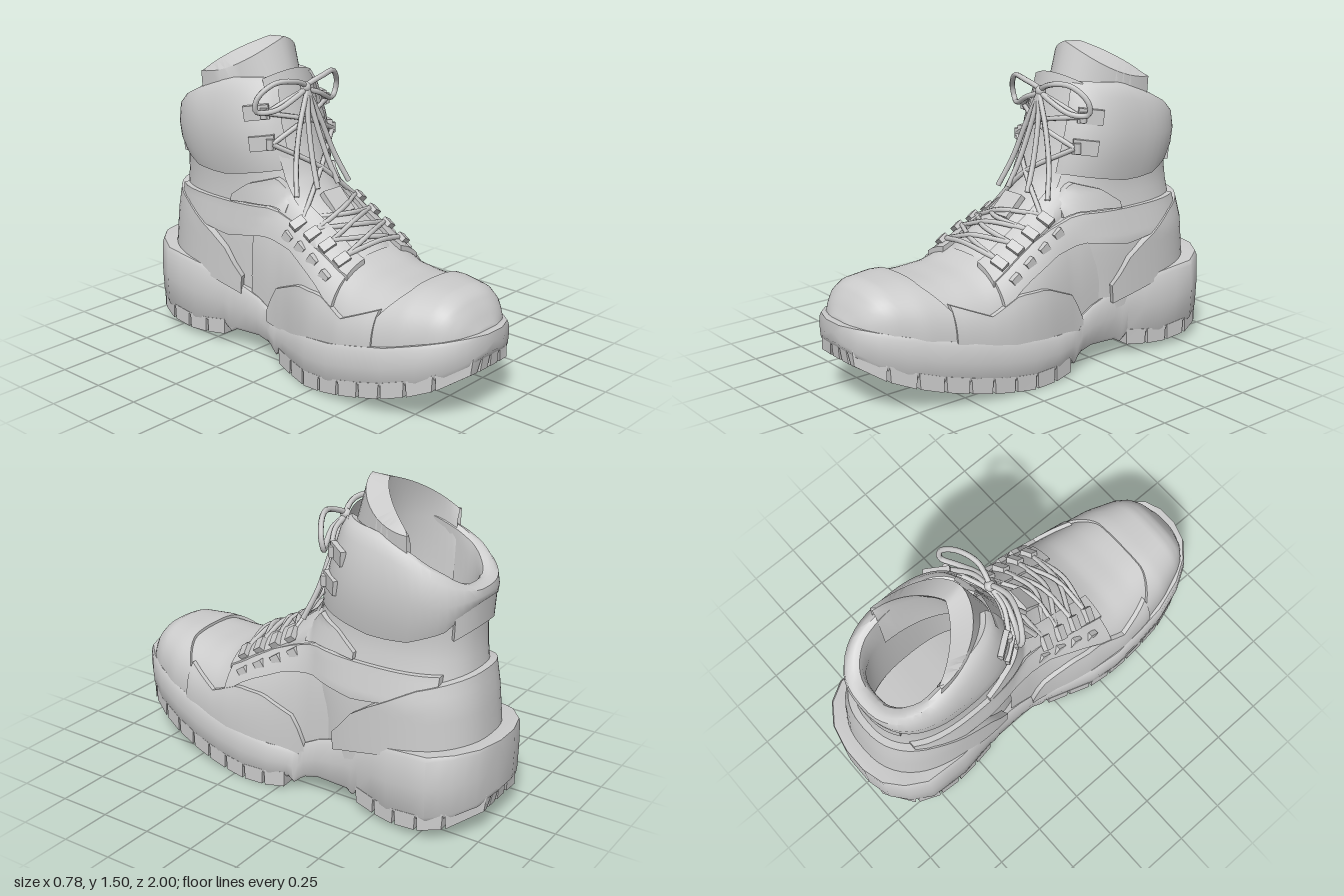
import * as THREE from 'three';
import { toCreasedNormals } from 'three/addons/utils/BufferGeometryUtils.js';

const mat = new THREE.MeshStandardMaterial({ color: 0xcccccc, side: THREE.DoubleSide });
const { clamp, lerp } = THREE.MathUtils;

// Stations of the sole: z, left x, right x, bottom y, top y
const SOLE = [
  [1, -0.10, 0.04, 0.26, 0.40], [0.97, -0.19, 0.12, 0.22, 0.40], [0.9, -0.27, 0.19, 0.175, 0.385],
  [0.8, -0.33, 0.25, 0.13, 0.36], [0.65, -0.375, 0.305, 0.085, 0.32], [0.5, -0.39, 0.345, 0.05, 0.29],
  [0.35, -0.395, 0.37, 0.02, 0.26], [0.2, -0.375, 0.385, 0.002, 0.24], [0.05, -0.325, 0.38, 0.005, 0.22],
  [-0.05, -0.295, 0.36, 0.02, 0.215], [-0.1, -0.285, 0.345, 0.065, 0.215], [-0.13, -0.28, 0.34, 0.085, 0.26],
  [-0.2, -0.278, 0.335, 0.1, 0.295], [-0.35, -0.28, 0.33, 0.09, 0.34], [-0.42, -0.287, 0.338, 0.05, 0.355],
  [-0.6, -0.312, 0.38, 0.03, 0.39], [-0.8, -0.305, 0.39, 0.05, 0.41], [-0.9, -0.25, 0.33, 0.075, 0.425],
  [-0.97, -0.17, 0.23, 0.1, 0.43], [-1, -0.06, 0.1, 0.13, 0.43]];
// Stations of the foot: z, left x, right x, top y
const FOOT = [
  [0.955, -0.11, 0.04, 0.39], [0.92, -0.19, 0.12, 0.46], [0.88, -0.235, 0.165, 0.515], [0.83, -0.265, 0.2, 0.54],
  [0.7, -0.315, 0.26, 0.545], [0.55, -0.345, 0.3, 0.535], [0.4, -0.355, 0.33, 0.545], [0.3, -0.345, 0.345, 0.585],
  [0.2, -0.335, 0.35, 0.65], [0.1, -0.31, 0.345, 0.71], [0, -0.28, 0.33, 0.78], [-0.1, -0.262, 0.315, 0.86],
  [-0.25, -0.255, 0.31, 0.93]];
// Rings of the shaft: y, front z, back z, left x, right x
const SHAFT = [
  [0.33, -0.05, -0.915, -0.265, 0.34], [0.6, -0.02, -0.89, -0.255, 0.335], [0.72, -0.01, -0.87, -0.24, 0.305],
  [0.85, -0.07, -0.85, -0.235, 0.275], [1.0, -0.12, -0.855, -0.25, 0.285], [1.1, -0.15, -0.86, -0.255, 0.29],
  [1.2, -0.18, -0.84, -0.25, 0.28], [1.34, -0.2, -0.77, -0.2, 0.24]];

// Values of a table at x, held constant beyond its ends
function at(table, x) {
  const dir = Math.sign(table[1][0] - table[0][0]);
  let i = 0;
  while (i < table.length - 2 && (x - table[i + 1][0]) * dir > 0) i++;
  const a = table[i], b = table[i + 1];
  const t = clamp((x - a[0]) / (b[0] - a[0]), 0, 1);
  return a.slice(1).map((v, k) => lerp(v, b[k + 1], t));
}
const spow = (v, p) => Math.sign(v) * Math.abs(v) ** p;
const N = 2.7;
const round = (t) => (1 - clamp(Math.abs(t), 0, 1) ** N) ** (1 / N);

// Point on the shaft at angle a (0 = front, turning towards +x)
function ringPt(a, y, off = 0) {
  const [zf, zb, xl, xr] = at(SHAFT, y);
  return [(xl + xr) / 2 + ((xr - xl) / 2 + off) * spow(Math.sin(a), 0.8), y,
    (zf + zb) / 2 + ((zf - zb) / 2 + off) * spow(Math.cos(a), 0.8)];
}
// Point on the foot arch at z, angle p from 0 to PI
function footPt(z, p, off = 0) {
  const [l, r, top] = at(FOOT, z), y0 = at(SOLE, z)[3] - 0.05;
  return [(l + r) / 2 + ((r - l) / 2 + off) * spow(Math.cos(p), 2 / N),
    y0 + (top - y0 + off) * spow(Math.sin(p), 2 / N), z];
}
// Height of the foot's top at x, z
function footTop(x, z) {
  const [l, r, top] = at(FOOT, z), y0 = at(SOLE, z)[3] - 0.05;
  return y0 + (top - y0) * round((x - (l + r) / 2) / ((r - l) / 2));
}
// Outer x of the boot on side s at z, y
function sideX(s, z, y, off) {
  const [l, r, top] = at(FOOT, z), y0 = at(SOLE, z)[3] - 0.05;
  const [zf, zb, xl, xr] = at(SHAFT, y);
  const foot = z < -0.25 ? 0 : round((y - y0) / (top - y0)) * (r - l) / 2 + s * (l + r) / 2;
  const shaft = round((z - (zf + zb) / 2) / ((zf - zb) / 2)) * (xr - xl) / 2 + s * (xl + xr) / 2;
  return s * (Math.max(foot, shaft) + off);
}

export function createModel() {
  const boot = new THREE.Group();
  boot.name = 'boot';
  function add(name, geo) {
    const mesh = new THREE.Mesh(geo, mat);
    mesh.name = name;
    boot.add(mesh);
    return mesh;
  }
  // Surface through (nu + 1) x (nv + 1) points given by fn(i, j)
  function surface(name, nu, nv, fn) {
    const pos = [], idx = [], w = nv + 1;
    for (let i = 0; i <= nu; i++) for (let j = 0; j <= nv; j++) pos.push(...fn(i, j));
    for (let i = 0; i < nu; i++) for (let j = 0; j < nv; j++) {
      const a = i * w + j;
      idx.push(a, a + 1, a + w, a + 1, a + w + 1, a + w);
    }
    const geo = new THREE.BufferGeometry();
    geo.setAttribute('position', new THREE.Float32BufferAttribute(pos, 3));
    geo.setIndex(idx);
    return add(name, toCreasedNormals(geo, 0.75));
  }
  // Raised patch: fn(u, v, offset), with its border tucked into the surface below
  function patch(name, nu, nv, off, fn) {
    return surface(name, nu, nv, (i, j) => {
      const edge = i === 0 || j === 0 || i === nu || j === nv;
      return fn(clamp((i - 1) / (nu - 2), 0, 1), clamp((j - 1) / (nv - 2), 0, 1), edge ? -0.02 : off);
    });
  }
  // Side panel between two curves over z, on both sides; curve rows are z, low y, high y
  function sidePanels(name, rows, off) {
    for (const s of [1, -1]) patch((s > 0 ? 'left ' : 'right ') + name, 22, 10, off, (u, v, o) => {
      const z = lerp(rows[0][0], rows[rows.length - 1][0], u), [lo, hi] = at(rows, z), y = lerp(lo, hi, v);
      return [sideX(s, z, y, o), y, z];
    });
  }
  const tube = (name, pts, r = 0.012, closed = false) => add(name, new THREE.TubeGeometry(
    new THREE.CatmullRomCurve3(pts.map((p) => new THREE.Vector3(...p)), closed), pts.length * 6, r, 7, closed));

  // Midsole, closed at both ends
  const last = SOLE.length * 2 - 2;
  surface('midsole', last + 2, 10, (i, j) => {
    const k = clamp(i - 1, 0, last), A = SOLE[k >> 1], B = SOLE[Math.min((k + 1) >> 1, SOLE.length - 1)];
    const [z, l, r, b0, t] = A.map((v, n) => (v + B[n]) / 2);
    const b = b0 + (z < -0.05 && z > -0.42 ? 0 : 0.05);
    if (i === 0 || i === last + 2) return [(l + r) / 2, (b + t) / 2, z];
    const e = 0.018, m = lerp(b, t, 0.5), q = 0.006;
    return [[l + e, b], [l + q, b + e], [l, m], [l + q, t - e], [l + e, t],
      [r - e, t], [r - q, t - e], [r, m], [r - q, b + e], [r - e, b], [l + e, b]][j].concat(z);
  });

  // Tread lugs in staggered rows, following the sole's outline and curve
  function lugRow(z0, z1, cuts) {
    for (let c = 0; c + 1 < cuts.length; c++) {
      const geo = new THREE.BoxGeometry(1, 1, 1), p = geo.attributes.position;
      for (let i = 0; i < p.count; i++) {
        // outer walls stay flush with the sole, inner ones taper and leave a groove
        const u = p.getX(i), rim = (u < 0 && c === 0) || (u > 0 && c + 2 === cuts.length);
        const low = p.getY(i) < 0, k = low ? 0.78 : 1;
        const z = lerp(z0, z1, 0.5 - p.getZ(i) * 0.92 * (rim && low ? 0.93 : k)), [l, r, b] = at(SOLE, z);
        const f = lerp(cuts[c], cuts[c + 1], 0.5 + u * (rim ? 1 : 0.92 * k));
        p.setXYZ(i, lerp(l + 0.004, r - 0.004, f), low ? b : b + 0.075, z);
      }
      geo.computeVertexNormals();
      add('tread lug', geo);
    }
  }
  for (let k = 0; k < 9; k++) lugRow(0.985 - k * 0.114, 0.871 - k * 0.114, k % 2 ? [0, 0.22, 0.46, 0.72, 1] : [0, 0.3, 0.54, 0.78, 1]);
  for (let k = 0; k < 5; k++) lugRow(-0.41 - k * 0.116, -0.526 - k * 0.116, k % 2 ? [0, 0.24, 0.5, 0.76, 1] : [0, 0.3, 0.55, 0.75, 1]);

  // Foot and toe cap
  surface('foot', 42, 28, (i, j) => i === 0 ? [-0.035, 0.36, 0.955]
    : footPt(lerp(0.955, -0.25, ((i - 1) / 41) ** 1.3), Math.PI * j / 28));
  surface('toeCap', 20, 32, (i, j) => {
    const p = Math.PI * j / 32, back = lerp(0.57, 0.66, clamp(Math.sin(p) * 2.2 - 1, 0, 1));
    const z = lerp(0.955, back, clamp((i - 1) / 18, 0, 1) ** 1.4);
    const pt = footPt(z, p, i === 20 ? -0.01 : 0.014);
    if (i === 0) return [-0.035, 0.37, 0.965];
    return [pt[0], pt[1], z + 0.012 * (1 - i / 20)];
  });

  // Shaft, heel counter and back band
  surface('shaft', 10, 48, (i, j) => ringPt(j / 48 * Math.PI * 2, lerp(0.2, 1.05, i / 10), -0.005));
  patch('heelCounter', 34, 8, 0.028, (u, v, o) => {
    const a = lerp(1.25, Math.PI * 2 - 1.25, u), z = ringPt(a, 0.5)[2];
    const [top] = at([[-0.3, 0.38], [-0.42, 0.52], [-0.7, 0.67], [-0.9, 0.73]], z);
    return ringPt(a, lerp(at(SOLE, z)[3] - 0.03, top, v), o);
  });
  patch('backBand', 14, 6, 0.014, (u, v, o) => {
    const a = lerp(-0.6, 0.6, u);
    return ringPt(Math.PI + a, lerp(0.93, 1.07, v) - a * a * 0.12, o);
  });

  // Padded cuff: outer wall, rolled rim and lining
  const CUFF = [[-0.03, 0], [0.006, 0.01], [0.018, 0.2], [0.02, 0.5], [0.012, 0.85], [-0.005, 0.97], [-0.025, 1], [-0.05, 0.97], [-0.065, 0.8], [-0.07, 0.4], [-0.08, -0.9]];
  surface('cuff', 44, CUFF.length - 1, (i, j) => {
    const a = lerp(0.42, Math.PI * 2 - 0.42, i / 44), z = ringPt(a, 1.1)[2];
    const [lo, hi] = at([[-0.2, 0.91, 1.33], [-0.4, 0.87, 1.32], [-0.5, 0.85, 1.305], [-0.65, 0.86, 1.25], [-0.78, 0.92, 1.18], [-0.86, 1.03, 1.11]], z);
    const [off, f] = CUFF[j];
    return ringPt(a, f < 0 ? 0.42 : lerp(lo, hi, f), off);
  });

  // Side panels
  sidePanels('mudguard', [[0.58, 0.27, 0.46], [0.4, 0.24, 0.385], [0.25, 0.22, 0.45], [0.1, 0.2, 0.45], [-0.07, 0.19, 0.38], [-0.13, 0.2, 0.25]], 0.022);
  sidePanels('quarter', [[0.33, 0.4, 0.55], [0.2, 0.49, 0.6], [0, 0.58, 0.69], [-0.15, 0.61, 0.74], [-0.4, 0.57, 0.735], [-0.78, 0.62, 0.735]], 0.018);
  sidePanels('anklePad', [[-0.08, 0.73, 0.8], [-0.15, 0.75, 0.88], [-0.28, 0.75, 0.84], [-0.38, 0.74, 0.77]], 0.018);

  // Tongue: strip under the laces
  const LINE = [[0.6, 0.32], [0.67, 0.2], [0.73, 0.1], [0.8, 0], [0.9, -0.07], [1.03, -0.12], [1.2, -0.17], [1.36, -0.215]];
  surface('tongue', 24, 10, (i, j) => {
    const y = lerp(0.59, 1.36, i / 24), x = lerp(-0.16, 0.17, j / 10);
    return [x, y - x * x * 1.2, at(LINE, y)[0] - x * x * 1.5];
  });
  // Tongue collar: outer wall, outer lip, sloping rim, inner wall
  surface('tongueCollar', 28, 5, (i, j) => {
    const s = i / 14 - 1, a = s * Math.PI / 2, t = Math.abs(s), sn = Math.sin(a), cs = Math.cos(a);
    const lip = [0.235 * sn, 1.5 - 0.08 * Math.abs(sn) - 0.09 * sn * sn, -0.6 + 0.32 * cs];
    const base = [0.22 * sn, 1.1, -0.6 + 0.43 * cs];
    return [base, base.map((v, k) => lerp(v, lip[k], 0.5)), lip,
      [0.22 * lerp(s, sn, 0.5), 1.495 - 0.07 * t - 0.095 * t * t, -0.6 + 0.23 * lerp(1 - t, cs, 0.5)],
      [0.2 * sn, 1.28, -0.6 + 0.29 * cs], [0.18 * sn, 1.0, -0.6 + 0.36 * cs]][j].map((v, k) => k ? v : v + 0.015);
  });
  const tag = add('tongueTag', new THREE.BoxGeometry(0.12, 0.13, 0.03));
  tag.position.set(0.01, 0.765, 0.06);
  tag.rotation.x = -0.8;

  // Eyestays, eyelets and lace hooks on both sides
  const rows = [0.28, 0.19, 0.1, 0.01], ends = [];
  for (const s of [1, -1]) {
    const side = s > 0 ? 'left ' : 'right ';
    patch(side + 'eyestay', 16, 6, 0.025, (u, v, o) => {
      const z = lerp(0.34, -0.12, u), x = 0.01 + s * lerp(0.13, 0.25 - 0.03 * u, v);
      return [x, footTop(x, z) + o, z];
    });
    const list = [];
    for (const z of rows) {
      const x = 0.01 + s * 0.2, y = footTop(x, z) + 0.025;
      const eyelet = add(side + 'eyelet', new THREE.BoxGeometry(0.07, 0.03, 0.045));
      eyelet.position.set(x + s * 0.015, y, z);
      eyelet.rotation.set(0.6, 0, -s * 0.55);
      const loop = add(side + 'laceRing', new THREE.BoxGeometry(0.025, 0.045, 0.05));
      loop.position.set(sideX(s, z - 0.04, y - 0.07, 0.012), y - 0.07, z - 0.04);
      loop.rotation.x = 0.6;
      list.push([x - s * 0.02, y + 0.015, z]);
    }
    for (const y of [1.04, 1.18]) {
      const hook = add(side + 'laceHook', new THREE.BoxGeometry(0.12, 0.07, 0.025));
      hook.position.set(...ringPt(s * 0.82, y, 0.018));
      hook.rotation.set(0, s * 0.95, s * -0.12);
      const pin = add(side + 'hookPin', new THREE.CylinderGeometry(0.016, 0.016, 0.05, 8));
      pin.position.set(...ringPt(s * 0.7, y, 0.035));
      list.push(ringPt(s * 0.66, y, 0.035));
    }
    ends.push(list);
  }

  // Crossed laces
  const mid = (p, q, lift) => {
    const y = (p[1] + q[1]) / 2;
    return [0.01, y + lift, Math.max((p[2] + q[2]) / 2, at(LINE, y + lift)[0]) + 0.03];
  };
  tube('lowestLace', [ends[0][0], mid(ends[0][0], ends[1][0], 0.03), ends[1][0]]);
  for (const k of [0, 1]) for (let i = 0; i < 5; i++) {
    const p = ends[k][i], q = ends[1 - k][i + 1];
    tube('crossedLace', [p, mid(p, q, 0.02 + 0.012 * k), q]);
  }

  // Bow: knot, two loops and hanging ends
  const knot = add('knot', new THREE.SphereGeometry(0.026, 12, 8));
  knot.position.set(0.01, 1.28, -0.14);
  for (const s of [1, -1]) {
    const b = (x, y, z) => [0.01 + s * x, y, z];
    tube('bowLoop', [b(0, 1.28, -0.14), b(0.1, 1.325, -0.12), b(0.2, 1.325, -0.15), b(0.27, 1.26, -0.19),
      b(0.265, 1.2, -0.2), b(0.19, 1.195, -0.16), b(0.09, 1.24, -0.13)], 0.013, true);
    tube('upperLace', [b(0, 1.27, -0.14), b(0.1, 1.24, -0.15), ends[s > 0 ? 0 : 1][5]]);
    tube('laceEnd', [b(0, 1.27, -0.13), b(0.025, 1.12, -0.1), b(0.05, 0.95, -0.05), b(0.07, 0.83, 0)], 0.013);
    tube('laceEnd', [b(0, 1.27, -0.13), b(0.07, 1.12, -0.11), b(0.13, 0.95, -0.08), b(0.18, 0.81, -0.03)], 0.013);
  }
  return boot;
}
